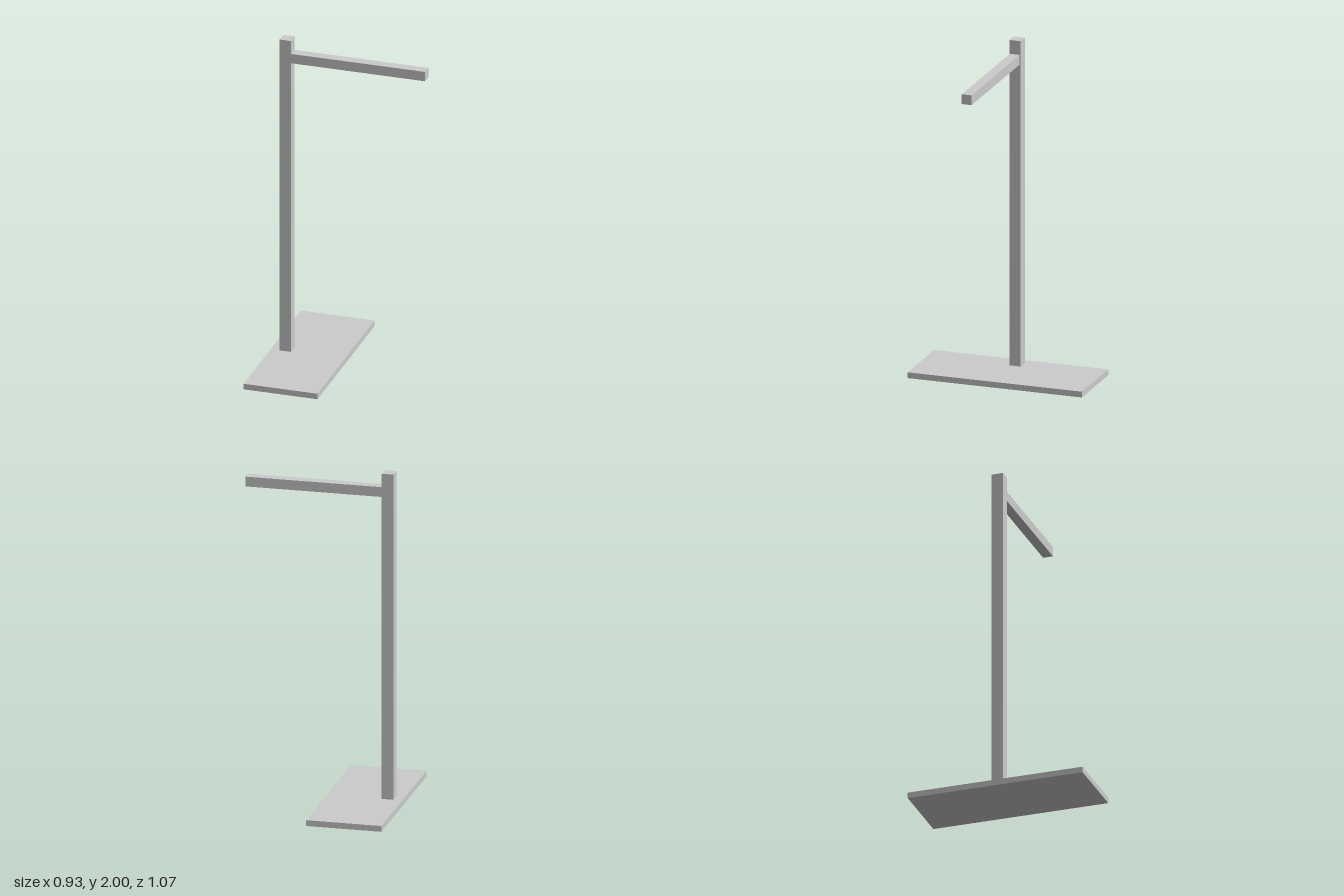
import * as THREE from 'three';

export function createModel() {
  const group = new THREE.Group();
  const material = new THREE.MeshStandardMaterial({ color: 0xcccccc, flatShading: true });

  // Box given by its minimum and maximum corners
  const addBox = (name, min, max) => {
    const [w, h, d] = max.map((v, i) => v - min[i]);
    const mesh = new THREE.Mesh(new THREE.BoxGeometry(w, h, d), material);
    mesh.position.set(min[0] + w / 2, min[1] + h / 2, min[2] + d / 2);
    mesh.name = name;
    group.add(mesh);
  };

  // Flat foot plate
  addBox('base', [-0.466, 0, -0.533], [-0.02, 0.035, 0.533]);
  // Square upright standing on the plate
  addBox('post', [-0.413, 0.035, -0.041], [-0.344, 2, 0.029]);
  // Thinner horizontal arm near the top
  addBox('arm', [-0.344, 1.858, -0.035], [0.466, 1.917, 0.025]);

  return group;
}
